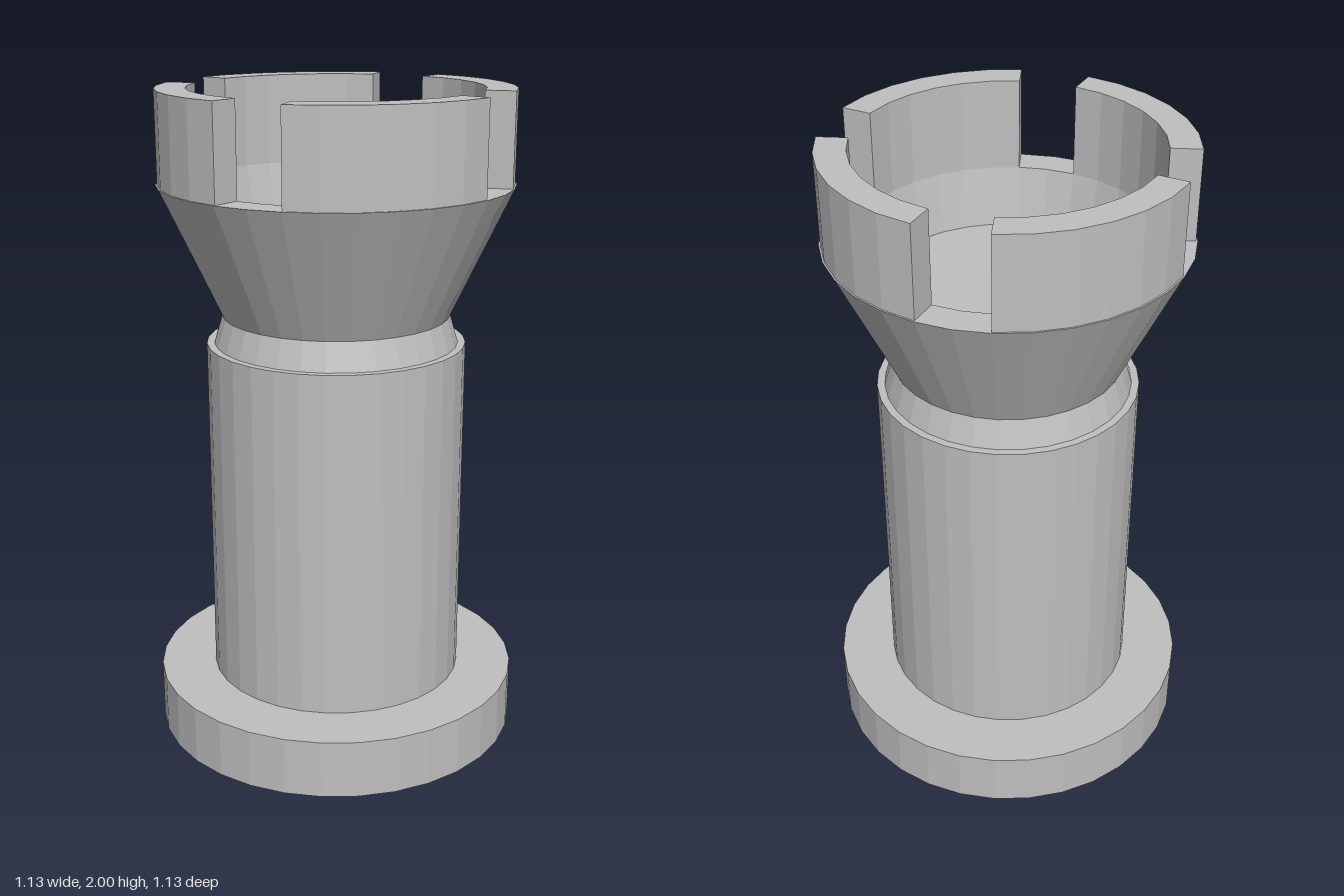
import * as THREE from 'three';

const SIDES = 32;
const STEP = (Math.PI * 2) / SIDES;

export function createModel() {
  const model = new THREE.Group();
  const stone = new THREE.MeshStandardMaterial({ color: 0xbfbfbf, flatShading: true });
  stone.name = 'greyStone';

  // Turned part from [radius, height] pairs, listed up the outside
  const turned = (name, profile) => {
    const points = profile.map(([r, y]) => new THREE.Vector2(r, y));
    const mesh = new THREE.Mesh(new THREE.LatheGeometry(points, SIDES), stone);
    mesh.name = name;
    model.add(mesh);
  };

  turned('base', [[0, 0], [0.565, 0], [0.565, 0.18], [0, 0.18]]);
  turned('shaft', [[0.393, 0.18], [0.393, 1.245], [0.36, 1.245]]);
  turned('neck', [[0.37, 1.245], [0.345, 1.33]]);

  // Flared head with a sunken, slightly tapered bowl
  turned('head', [[0.345, 1.33], [0.53, 1.725], [0.435, 1.725], [0.4, 1.55], [0, 1.55]]);

  // Battlement: a faceted ring sector, six sides long, leaving two-sided gaps
  const sector = [];
  for (let i = 1; i <= 7; i++) {
    sector.push(new THREE.Vector2(Math.cos(i * STEP), Math.sin(i * STEP)).multiplyScalar(0.525));
  }
  for (let i = 7; i >= 1; i--) {
    sector.push(new THREE.Vector2(Math.cos(i * STEP), Math.sin(i * STEP)).multiplyScalar(0.435));
  }
  const merlon = new THREE.ExtrudeGeometry(new THREE.Shape(sector), { depth: 0.275, bevelEnabled: false });
  merlon.rotateX(-Math.PI / 2);

  const battlements = new THREE.Group();
  battlements.name = 'battlements';
  for (let k = 0; k < 4; k++) {
    const mesh = new THREE.Mesh(merlon, stone);
    mesh.name = 'battlement' + (k + 1);
    mesh.position.y = 1.725;
    mesh.rotation.y = (k * Math.PI) / 2;
    battlements.add(mesh);
  }
  model.add(battlements);

  return model;
}
